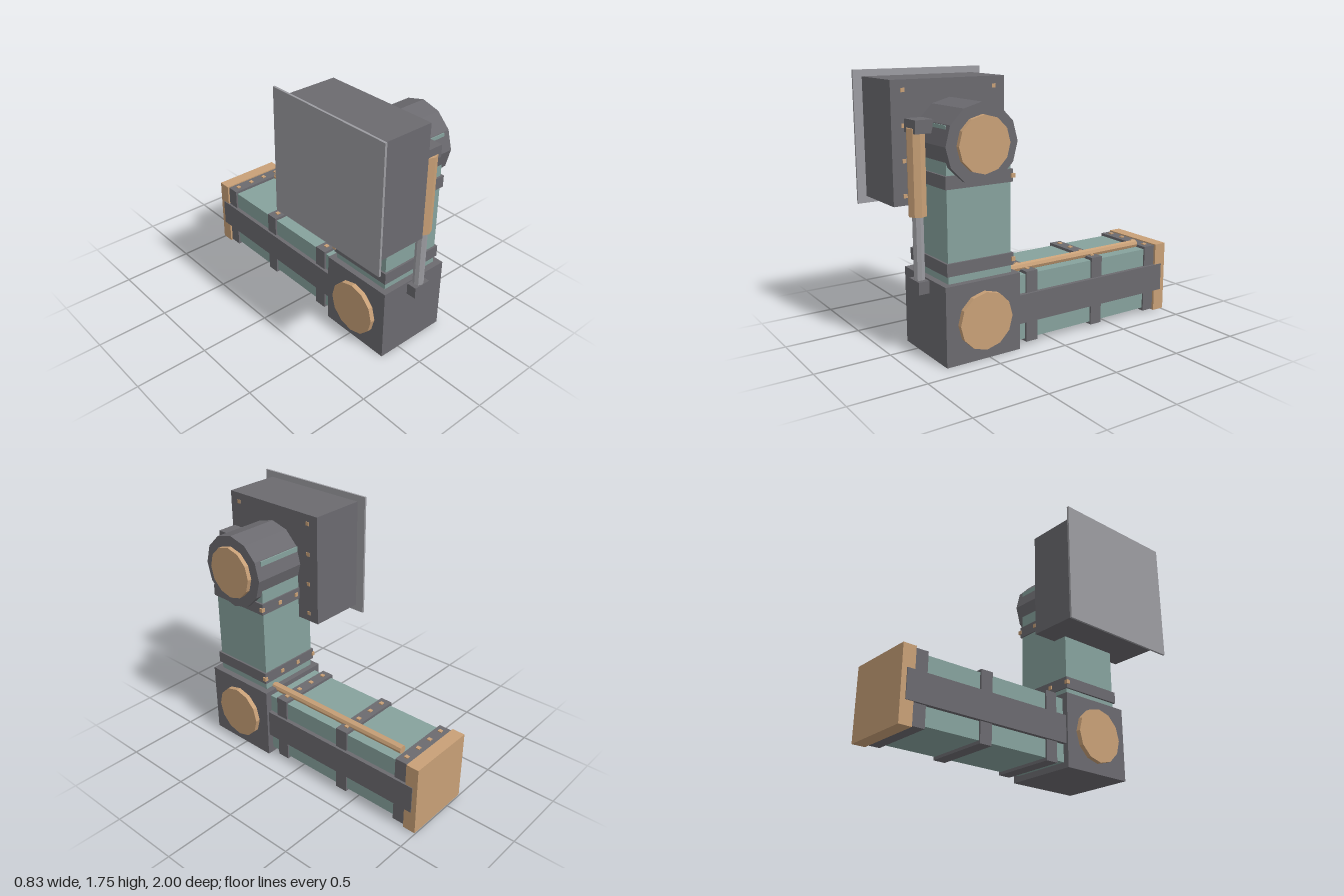
import * as THREE from 'three';

export function createModel() {
  const mat = (name, color) => {
    const m = new THREE.MeshStandardMaterial({ color });
    m.name = name;
    return m;
  };
  const grey = mat('dark grey metal', 0x6b6a6f);
  const silver = mat('light grey metal', 0x9c9ca1);
  const teal = mat('teal panel', 0x86a29d);
  const tan = mat('tan trim', 0xc8a077);
  for (const m of [grey, silver, teal, tan]) m.flatShading = true;

  const model = new THREE.Group();
  model.name = 'mechanicalArm';

  const add = (name, geometry, material) => {
    const mesh = new THREE.Mesh(geometry, material);
    mesh.name = name;
    model.add(mesh);
    return mesh;
  };
  // Box given by its extents on each axis
  const box = (name, material, [x0, x1], [y0, y1], [z0, z1]) =>
    add(name, new THREE.BoxGeometry(x1 - x0, y1 - y0, z1 - z0), material)
      .position.set((x0 + x1) / 2, (y0 + y1) / 2, (z0 + z1) / 2);
  // Faceted cylinder along one axis, from a to b; u and v are the other two coordinates
  const rod = (name, material, axis, sides, r, a, b, u, v) => {
    const mesh = add(name, new THREE.CylinderGeometry(r, r, b - a, sides), material);
    const mid = (a + b) / 2;
    if (axis === 'x') {
      mesh.rotation.z = Math.PI / 2;
      mesh.position.set(mid, u, v);
    } else if (axis === 'y') {
      mesh.position.set(u, mid, v);
    } else {
      mesh.rotation.x = Math.PI / 2;
      mesh.position.set(u, v, mid);
    }
  };
  const rivet = (x, y, z) =>
    box('rivet', tan, [x - 0.013, x + 0.013], [y - 0.013, y + 0.013], [z - 0.013, z + 0.013]);

  const armX = [-0.11, 0.336];

  // Base joint with round caps on both sides
  box('baseJoint', grey, [-0.152, 0.381], [0, 0.51], [0.272, 0.805]);
  rod('baseJointCaps', tan, 'x', 12, 0.186, -0.185, 0.414, 0.257, 0.538);

  // Horizontal arm, side beams and end cap
  box('lowerArm', teal, armX, [0.04, 0.475], [-0.93, 0.3]);
  box('sideBeam', grey, [0.325, 0.365], [0.16, 0.352], [-0.965, 0.3]);
  box('sideBeam', grey, [-0.139, -0.1], [0.16, 0.352], [-0.965, 0.3]);
  box('endCap', tan, [-0.134, 0.36], [0.01, 0.5], [-1, -0.91]);

  // Bands round the horizontal arm
  for (const z of [-0.862, -0.38, 0.157]) {
    box('lowerArmBand', grey, [-0.123, 0.348], [0.02, 0.494], [z - 0.044, z + 0.044]);
    for (const x of [-0.066, 0.053, 0.172, 0.291]) rivet(x, 0.489, z);
  }

  // Pipe along the top of the horizontal arm
  rod('pipe', tan, 'z', 8, 0.028, -0.805, 0.33, 0.257, 0.503);

  // Upright arm and its collars
  box('upperArm', teal, armX, [0.5, 1.465], [0.312, 0.761]);
  for (const y of [0.6, 1.13]) {
    box('upperArmCollar', grey, [-0.124, 0.35], [y - 0.04, y + 0.04], [0.302, 0.775]);
    for (const x of [-0.122, 0.035, 0.191, 0.348]) rivet(x, y, 0.307);
  }

  // Upper joint drum with a round cap
  rod('upperJoint', grey, 'x', 12, 0.249, -0.05, 0.38, 1.345, 0.538);
  rod('upperJointCap', tan, 'x', 12, 0.177, 0.3, 0.41, 1.345, 0.538);

  // Mounting housing with back plate
  box('housing', grey, [-0.402, 0], [0.945, 1.712], [0.135, 0.94]);
  box('backPlate', silver, [-0.417, -0.402], [0.9, 1.755], [0.072, 1]);
  for (const z of [0.216, 0.86])
    for (const y of [1.005, 1.222, 1.437, 1.65]) rivet(-0.009, y, z);

  // Piston between the two joints
  box('pistonTopMount', grey, [0.042, 0.184], [1.405, 1.487], [0.755, 0.876]);
  box('pistonBottomMount', grey, [0.05, 0.177], [0.42, 0.5], [0.76, 0.876]);
  rod('pistonSleeve', tan, 'y', 8, 0.058, 0.9, 1.435, 0.113, 0.838);
  rod('pistonRod', silver, 'y', 8, 0.036, 0.45, 0.95, 0.113, 0.838);

  return model;
}
